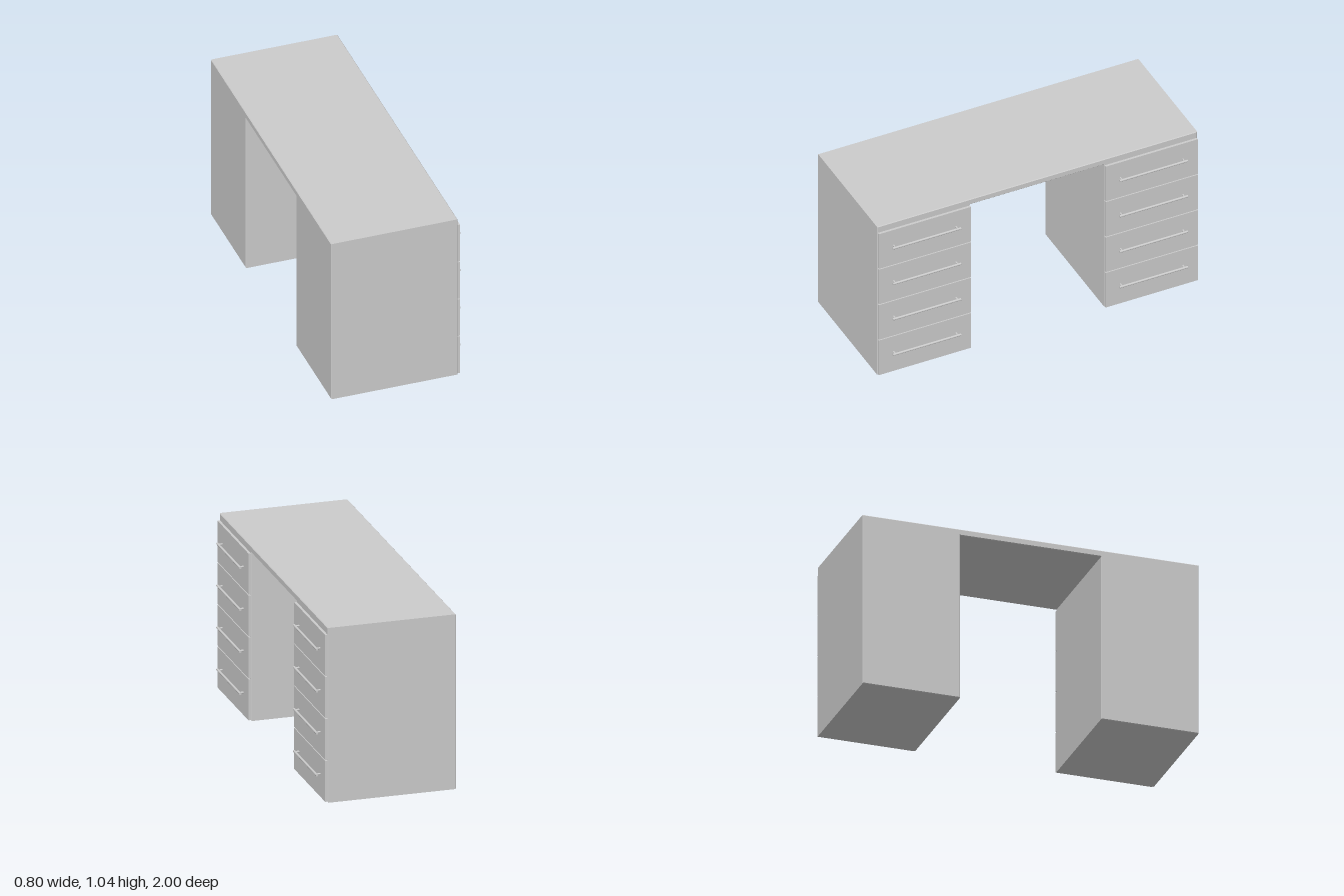
import * as THREE from 'three';

const material = new THREE.MeshStandardMaterial({ color: 0xcccccc });

function addMesh(parent, name, geometry, x = 0, y = 0, z = 0) {
  const mesh = new THREE.Mesh(geometry, material);
  mesh.name = name;
  mesh.position.set(x, y, z);
  parent.add(mesh);
  return mesh;
}

export function createModel() {
  const desk = new THREE.Group();
  desk.name = 'desk';

  // Carcass: two pedestals joined by the top, with slightly bevelled edges
  const outline = [[-1, 0], [-0.42, 0], [-0.42, 1.005], [0.42, 1.005],
    [0.42, 0], [1, 0], [1, 1.042], [-1, 1.042]];
  const shape = new THREE.Shape(outline.map(([a, b]) => new THREE.Vector2(a, b)));
  const bevel = 0.004, back = -0.4, face = 0.354;
  const carcass = new THREE.ExtrudeGeometry(shape, {
    depth: face - back - 2 * bevel,
    bevelThickness: bevel, bevelSize: bevel, bevelOffset: -bevel, bevelSegments: 1,
  });
  carcass.rotateY(Math.PI / 2);
  addMesh(desk, 'carcass', carcass, back + bevel);

  // Shared drawer parts
  const panel = new THREE.BoxGeometry(0.015, 0.244, 0.575);
  const bar = new THREE.CylinderGeometry(0.007, 0.007, 0.425, 16).rotateX(Math.PI / 2);
  const post = new THREE.CylinderGeometry(0.0055, 0.0055, 0.022, 12).rotateZ(Math.PI / 2);

  // Four drawers on each pedestal, each with a bar handle on two posts
  for (const side of [1, -1]) {
    for (let row = 0; row < 4; row++) {
      const drawer = new THREE.Group();
      drawer.name = `${side > 0 ? 'front' : 'back'}Drawer${row + 1}`;
      drawer.position.set(face, 0.128 + row * 0.25, side * 0.7085);
      addMesh(drawer, 'drawerFront', panel, 0.0075);
      addMesh(drawer, 'handleBar', bar, 0.039, 0.013);
      for (const end of [-1, 1]) addMesh(drawer, 'handlePost', post, 0.026, 0.013, end * 0.195);
      desk.add(drawer);
    }
  }
  return desk;
}
